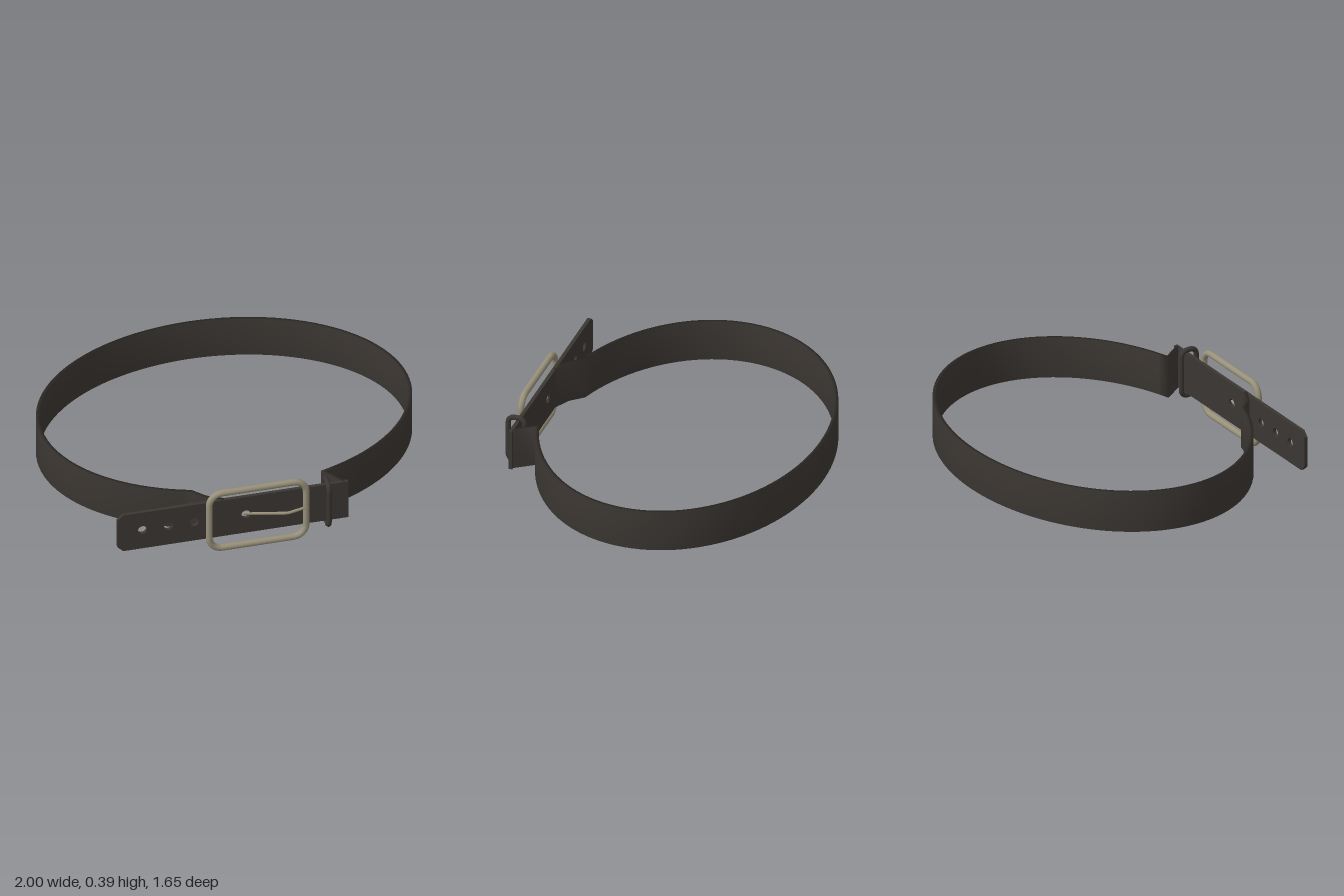
import * as THREE from 'three';

const leather = new THREE.MeshStandardMaterial({ color: 0x3b3632 });
const metal = new THREE.MeshStandardMaterial({ color: 0x98907a });

function add(group, name, geometry, material) {
  const mesh = new THREE.Mesh(geometry, material);
  mesh.name = name;
  group.add(mesh);
  return mesh;
}

// Rounded rectangular ring of round wire in the XY plane, centred on the origin
function wireFrame(w, h, corner, radius) {
  const path = new THREE.CurvePath();
  const k = 0.5523;
  const v = (x, y) => new THREE.Vector3(x, y, 0);
  const X = w / 2, Y = h / 2;
  const corners = [v(X, Y), v(-X, Y), v(-X, -Y), v(X, -Y)];
  corners.forEach((c, i) => {
    const next = corners[(i + 1) % 4], prev = corners[(i + 3) % 4];
    const toPrev = prev.clone().sub(c).normalize();
    const toNext = next.clone().sub(c).normalize();
    const at = (dir, d) => c.clone().addScaledVector(dir, d);
    path.add(new THREE.CubicBezierCurve3(
      at(toPrev, corner), at(toPrev, corner * (1 - k)),
      at(toNext, corner * (1 - k)), at(toNext, corner)));
    path.add(new THREE.LineCurve3(at(toNext, corner), next.clone().addScaledVector(toNext, -corner)));
  });
  return new THREE.TubeGeometry(path, 140, radius, 12, true);
}

// Flat strip following a plan path of [x, z] points, with mitred bends
function bandGeometry(points, y0, y1, thickness) {
  const pts = points.map(([x, z]) => new THREE.Vector2(x, z));
  const pos = [], index = [];
  const last = pts.length - 1;
  pts.forEach((p, i) => {
    const a = pts[Math.max(i - 1, 0)], b = pts[Math.min(i + 1, last)];
    const before = (i ? p.clone().sub(a) : b.clone().sub(p)).normalize();
    const after = (i < last ? b.clone().sub(p) : before.clone()).normalize();
    const dir = before.clone().add(after).normalize();
    const half = thickness / 2 * Math.min(1 / dir.dot(after), 1.8);
    const nx = dir.y * half, nz = -dir.x * half;
    pos.push(p.x + nx, y0, p.y + nz, p.x + nx, y1, p.y + nz,
      p.x - nx, y1, p.y - nz, p.x - nx, y0, p.y - nz);
    if (i === last) return;
    for (let j = 0; j < 4; j++) {
      const s = i * 4 + j, e = i * 4 + (j + 1) % 4;
      index.push(s, e, e + 4, s, e + 4, s + 4);
    }
  });
  const n = last * 4;
  index.push(0, 2, 1, 0, 3, 2, n, n + 1, n + 2, n, n + 2, n + 3);
  const g = new THREE.BufferGeometry();
  g.setAttribute('position', new THREE.Float32BufferAttribute(pos, 3));
  g.setIndex(index);
  g.computeVertexNormals();
  return g;
}

export function createModel() {
  const belt = new THREE.Group();
  belt.name = 'belt';
  const y0 = 0.08, y1 = 0.31, midY = 0.195;

  // Waist band: an ellipse with both ends stepping forward to the front strap
  const path = [[-0.21, 0.757], [-0.3, 0.71]];
  const steps = 96, start = Math.PI - 1.198, end = Math.PI * 2 + 1.198;
  for (let i = 0; i <= steps; i++) {
    const t = start + (end - start) * i / steps;
    path.push([0.99 * Math.cos(t), -0.06 + 0.755 * Math.sin(t)]);
  }
  path.push([0.44, 0.757]);
  add(belt, 'waistBand', bandGeometry(path, y0, y1, 0.02), leather);

  // Front strap with a clipped tip and punched holes
  const strap = new THREE.Shape();
  strap.moveTo(0.46, y0);
  strap.lineTo(0.46, y1);
  strap.lineTo(-0.76, y1);
  strap.lineTo(-0.79, y1 - 0.03);
  strap.lineTo(-0.79, y0 + 0.03);
  strap.lineTo(-0.76, y0);
  strap.closePath();
  for (const x of [-0.655, -0.515, -0.375, -0.095]) {
    const hole = new THREE.Path();
    hole.absarc(x, midY + 0.003, 0.025, 0, Math.PI * 2, true);
    strap.holes.push(hole);
  }
  const strapGeometry = new THREE.ExtrudeGeometry(strap, { depth: 0.02, bevelEnabled: false, curveSegments: 16 });
  add(belt, 'frontStrap', strapGeometry, leather).position.z = 0.747;

  // Buckle frame
  add(belt, 'buckleFrame', wireFrame(0.524, 0.352, 0.07, 0.018), metal).position.set(-0.035, midY, 0.782);

  // Buckle prong: bent wire from the right bar into a strap hole
  const prongPath = new THREE.CurvePath();
  const prongPoints = [[0.228, 0.785], [0.13, 0.81], [0.11, 0.81], [-0.1, 0.757]]
    .map(([x, z]) => new THREE.Vector3(x, midY + 0.003, z));
  for (let i = 0; i < 3; i++) prongPath.add(new THREE.LineCurve3(prongPoints[i], prongPoints[i + 1]));
  add(belt, 'buckleProng', new THREE.TubeGeometry(prongPath, 32, 0.008, 10, false), metal);
  add(belt, 'prongTip', new THREE.SphereGeometry(0.008, 10, 8), metal).position.copy(prongPoints[3]);

  // Keeper loop around the strap
  const keeper = add(belt, 'keeperLoop', wireFrame(0.092, 0.262, 0.035, 0.014), leather);
  keeper.rotation.y = Math.PI / 2;
  keeper.position.set(0.345, midY + 0.003, 0.764);

  return belt;
}
